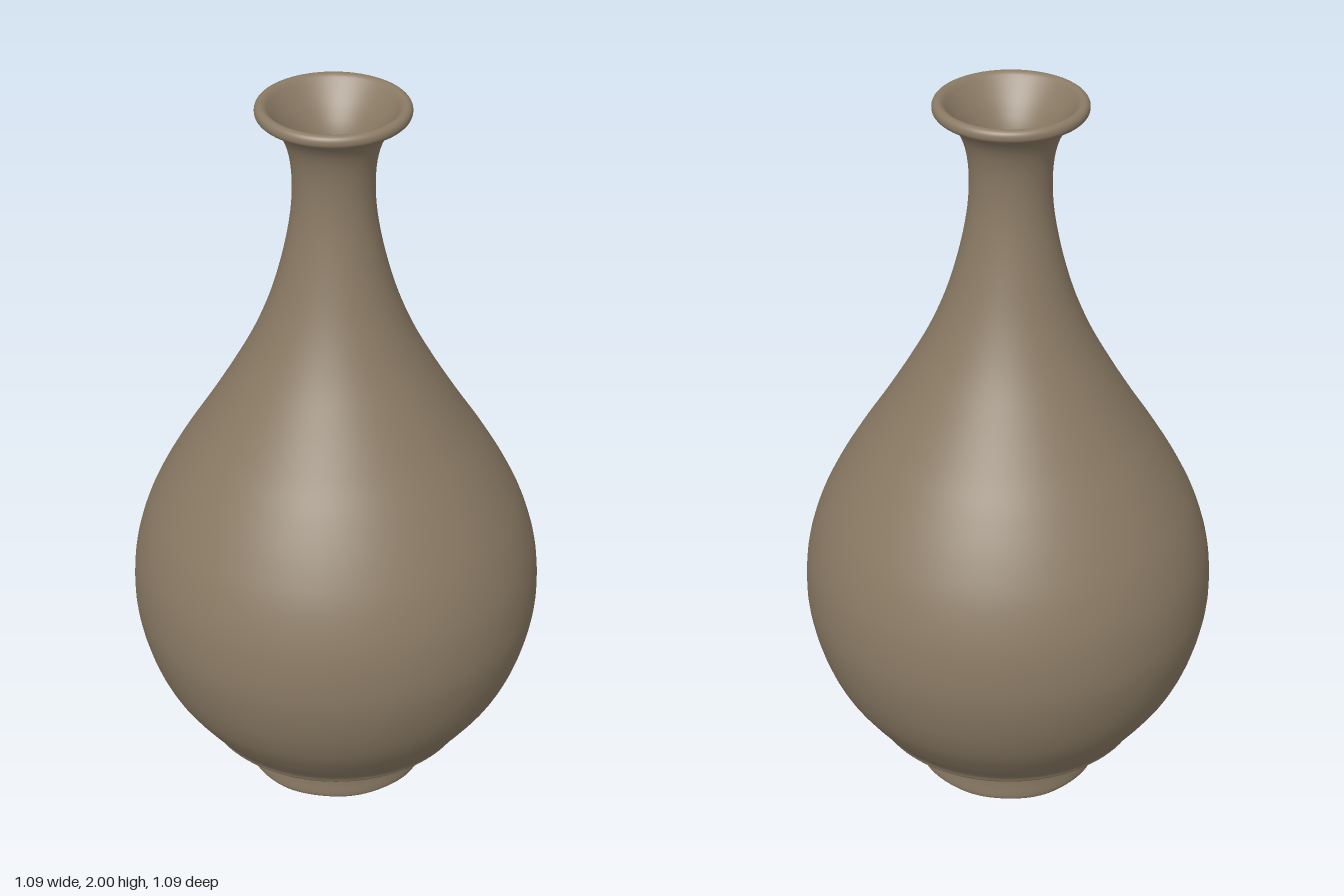
import * as THREE from 'three';

const SEGMENTS = 96;

// The neck leans very slightly off the axis of the belly.
function lean(geometry) {
  const p = geometry.attributes.position;
  for (let i = 0; i < p.count; i++) {
    const t = THREE.MathUtils.smoothstep(p.getY(i), 0.5, 2);
    p.setX(i, p.getX(i) - 0.01 * t);
  }
  return geometry;
}

// Smooth lathe through a few [radius, height] points.
function turned(name, points, samples, material) {
  const curve = new THREE.SplineCurve(points.map(([r, y]) => new THREE.Vector2(r, y)));
  const profile = curve.getPoints(samples);
  profile.forEach((v) => { v.x = Math.max(v.x, 0); });
  const mesh = new THREE.Mesh(lean(new THREE.LatheGeometry(profile, SEGMENTS)), material);
  mesh.name = name;
  return mesh;
}

export function createModel() {
  const group = new THREE.Group();
  group.name = 'vase';
  const glaze = new THREE.MeshStandardMaterial({ color: 0x8a7a64 });
  glaze.name = 'brown stoneware';

  // Belly and neck, from the ledge above the foot up to the lip
  group.add(turned('body', [
    [0.24, 0.125], [0.275, 0.132], [0.33, 0.15], [0.365, 0.167], [0.378, 0.19],
    [0.425, 0.25], [0.475, 0.325], [0.512, 0.41], [0.538, 0.51], [0.546, 0.6],
    [0.537, 0.71], [0.506, 0.82], [0.46, 0.92], [0.403, 1.02], [0.34, 1.12],
    [0.275, 1.23], [0.216, 1.34], [0.17, 1.45], [0.137, 1.56], [0.114, 1.67],
    [0.105, 1.76], [0.108, 1.84], [0.122, 1.9], [0.145, 1.94], [0.174, 1.966],
  ], 144, glaze));

  // Rolled lip
  group.add(turned('lip', [
    [0.17, 1.963], [0.185, 1.966], [0.194, 1.975], [0.195, 1.987],
    [0.19, 1.996], [0.18, 2.0], [0.17, 1.996], [0.162, 1.988],
  ], 35, glaze));

  // Flared inside of the mouth
  group.add(turned('throat', [
    [0.162, 1.988], [0.14, 1.96], [0.115, 1.925], [0.092, 1.88],
    [0.077, 1.82], [0.07, 1.75], [0.07, 1.68],
  ], 36, glaze));

  // Closed end of the throat
  const floor = new THREE.Mesh(lean(new THREE.CylinderGeometry(0.073, 0.073, 0.02, 48).translate(0, 1.68, 0)), glaze);
  floor.name = 'throatFloor';
  group.add(floor);

  // Hollow foot ring: recess, worn standing edge, outer wall
  const foot = turned('foot', [
    [0, 0.105], [0.08, 0.102], [0.14, 0.092], [0.175, 0.072], [0.195, 0.04],
    [0.204, 0.014], [0.214, 0.004], [0.23, 0.003], [0.243, 0.008], [0.248, 0.022],
    [0.248, 0.06], [0.251, 0.1], [0.258, 0.12], [0.275, 0.135],
  ], 70, glaze);
  // Slightly uneven standing edge
  const p = foot.geometry.attributes.position;
  for (let i = 0; i < p.count; i++) {
    const y = p.getY(i);
    const a = Math.atan2(p.getZ(i), p.getX(i));
    const wave = 0.003 + 0.002 * Math.sin(3 * a) + 0.001 * Math.sin(8 * a + 1);
    p.setY(i, Math.max(0, y + wave * (1 - THREE.MathUtils.smoothstep(y, 0, 0.06))));
  }
  foot.geometry.computeBoundingSphere();
  group.add(foot);

  return group;
}
